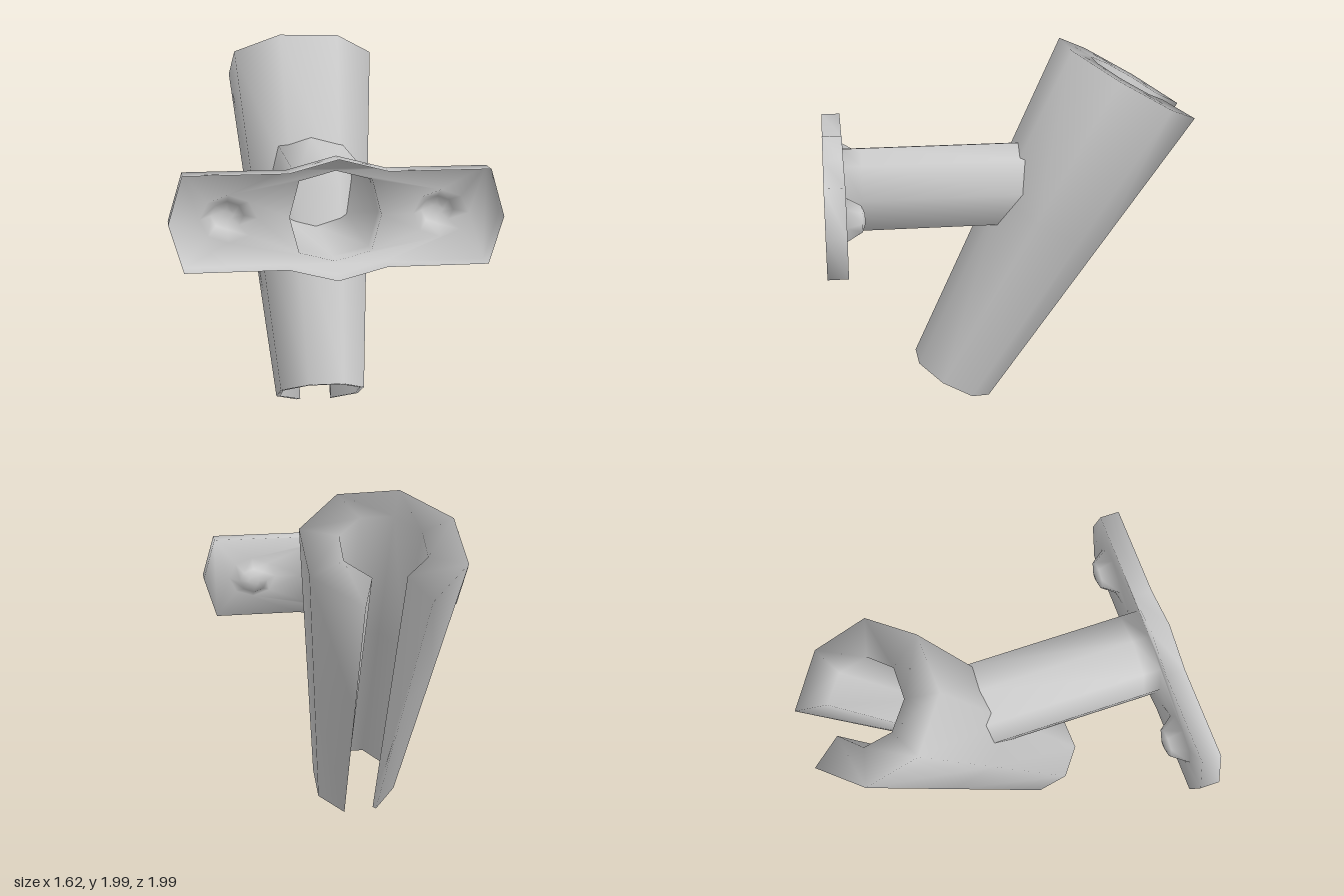
import * as THREE from 'three';
import { mergeGeometries, mergeVertices } from 'three/addons/utils/BufferGeometryUtils.js';

const material = new THREE.MeshStandardMaterial({ color: 0xcccccc, side: THREE.DoubleSide });
const V = (x, y, z) => new THREE.Vector3(x, y, z);

// Skin a row of closed loops of equal length, with optional flat ends.
function loft(rings, capStart = false, capEnd = false) {
  const n = rings[0].length, index = [];
  for (let r = 0; r < rings.length - 1; r++) {
    for (let i = 0; i < n; i++) {
      const a = r * n + i, b = r * n + (i + 1) % n;
      index.push(a, a + n, b, b, a + n, b + n);
    }
  }
  const last = (rings.length - 1) * n;
  for (let i = 1; i < n - 1; i++) {
    if (capStart) index.push(0, i, i + 1);
    if (capEnd) index.push(last, last + i + 1, last + i);
  }
  const g = new THREE.BufferGeometry().setFromPoints(rings.flat());
  g.setIndex(index);
  return g;
}

// Weld the pieces and give them one continuous smooth shading.
function smoothMesh(name, pieces) {
  const g = mergeVertices(mergeGeometries(pieces), 1e-4);
  g.computeVertexNormals();
  const mesh = new THREE.Mesh(g, material);
  mesh.name = name;
  return mesh;
}

// Tapered eight-sided tube with a straight bore, slit along its back.
function slottedTube() {
  const length = 1.933, rings = [];
  const at = (radius, degrees, t) => {
    const a = THREE.MathUtils.degToRad(degrees);
    return V(radius * Math.sin(a), t * length, -radius * Math.cos(a));
  };
  for (let k = 0; k < 8; k++) {
    const inner = t => at(0.225, 22.5 + 45 * k, t);
    const outer = t => at(0.245 + 0.18 * t, 20 + 45 * k, t);
    rings.push([inner(0), inner(0.55), inner(1), outer(1), outer(0.55), outer(0)]);
  }
  const mesh = smoothMesh('slottedTube', [loft(rings, true, true)]);
  mesh.rotation.x = -Math.PI / 6;
  mesh.position.set(0, 0.125, 0.325);
  return mesh;
}

// Hollow arm, flange and bolt bosses, formed as one thin skin open at the front.
function mountingBracket() {
  const midY = 1.235, back = 0.895, front = 1;
  const ring = (points, z) => points.map(p => V(p.x, p.y + midY, z));
  const octagon = (cx, rx, ry, diagonal = Math.SQRT1_2) =>
    [[1, 0], [diagonal, diagonal], [0, 1], [-diagonal, diagonal],
      [-1, 0], [-diagonal, -diagonal], [0, -1], [diagonal, -diagonal]]
      .map(([x, y]) => new THREE.Vector2(cx + x * rx, y * ry));

  // Flange outline, counter-clockwise
  const outline = [[0.81, 0], [0.74, 0.235], [0.24, 0.235], [0, 0.298], [-0.24, 0.235], [-0.74, 0.235],
    [-0.81, 0], [-0.74, -0.235], [-0.24, -0.235], [0, -0.298], [0.24, -0.235], [0.74, -0.235]]
    .map(([x, y]) => new THREE.Vector2(x, y));
  const arm = octagon(0, 0.225, 0.225, 0.79);
  const bosses = [-0.52, 0.52].map(x => ({ base: octagon(x, 0.14, 0.118), top: octagon(x, 0.08, 0.07), x }));

  // Flange sheet with openings for the arm and bosses
  const shape = new THREE.Shape(outline);
  for (const hole of [arm, ...bosses.map(b => b.base)]) shape.holes.push(new THREE.Path(hole));
  const sheet = new THREE.ShapeGeometry(shape);
  sheet.deleteAttribute('normal');
  sheet.deleteAttribute('uv');
  sheet.setIndex(Array.from(sheet.index.array).reverse());
  sheet.translate(0, midY, back);

  // Rim
  const pieces = [sheet, loft([ring(outline, front), ring(outline, back)])];

  // Arm, its far end cut to follow the sloping tube
  const armEnd = ring(arm, 0);
  for (const p of armEnd) p.z = 0.51 - (p.y - 0.24) * 0.466 - 0.1 * (p.x / 0.225) ** 2;
  pieces.push(loft([ring(arm, back), ring(arm, 0.8), armEnd]));

  // Bosses
  for (const { base, top, x } of bosses) {
    const tip = top.map(p => new THREE.Vector2(x + (p.x - x) * 0.4, p.y * 0.4));
    pieces.push(loft([ring(base, back), ring(top, 0.815), ring(tip, 0.8)], false, true));
  }
  return smoothMesh('mountingBracket', pieces);
}

export function createModel() {
  const model = new THREE.Group();
  model.name = 'angledTubeHolder';
  model.add(slottedTube(), mountingBracket());
  return model;
}
